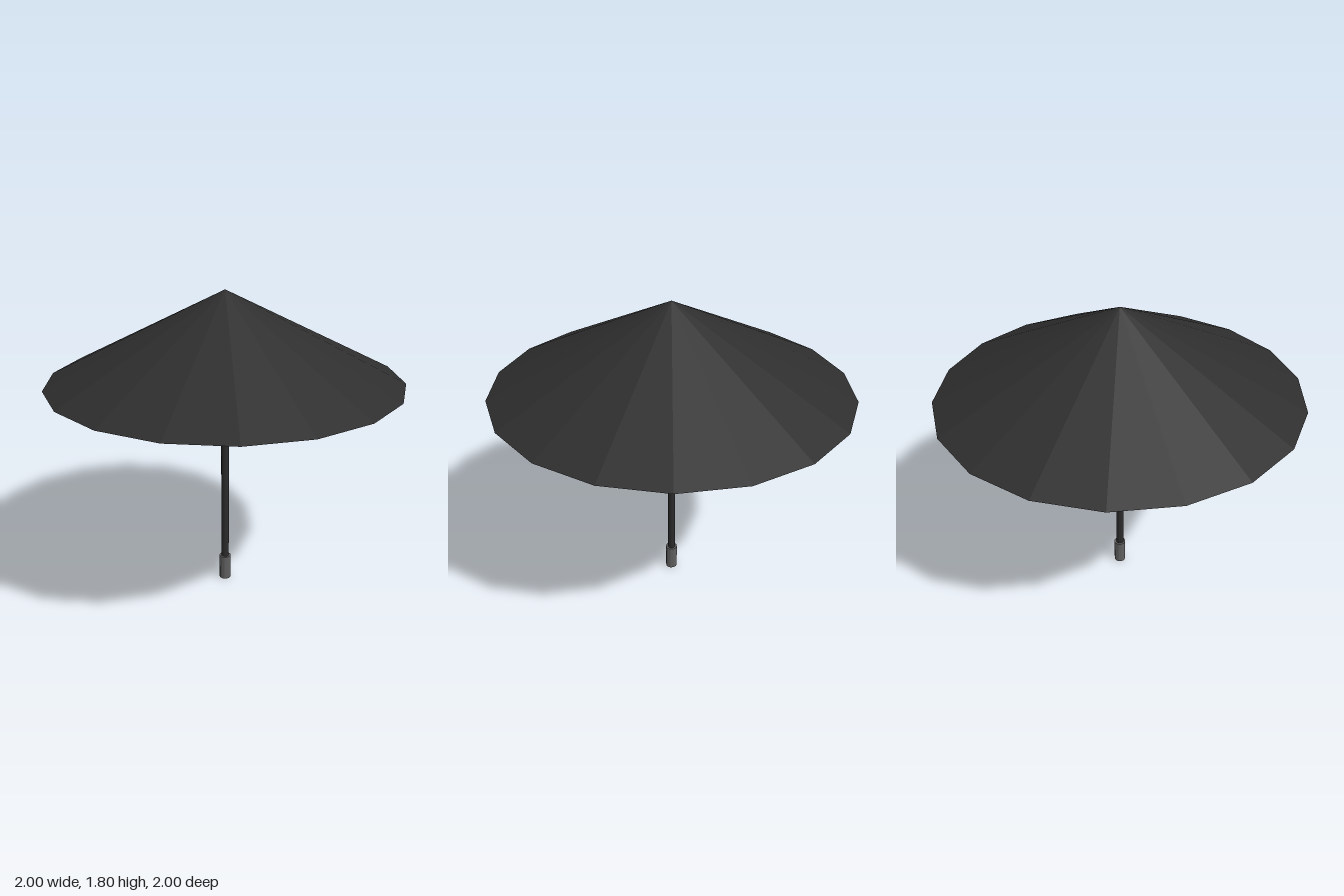
import * as THREE from 'three';

const SIDES = 18;

export function createModel() {
  const group = new THREE.Group();

  const fabric = new THREE.MeshStandardMaterial({ color: 0x2e2e2e, flatShading: true, side: THREE.DoubleSide });
  fabric.name = 'dark fabric';
  const shaft = new THREE.MeshStandardMaterial({ color: 0x2b2b2b, flatShading: true });
  shaft.name = 'black metal';
  const rubber = new THREE.MeshStandardMaterial({ color: 0x606060, flatShading: true });
  rubber.name = 'grey grip';

  const add = (name, geometry, material, bottom, height) => {
    const mesh = new THREE.Mesh(geometry, material);
    mesh.name = name;
    mesh.position.y = bottom + height / 2;
    group.add(mesh);
    return mesh;
  };

  // Open faceted canopy, corners on the x axis and flat edges at front and back
  const canopy = new THREE.ConeGeometry(1, 0.495, SIDES, 1, true, Math.PI / 2);
  canopy.scale(1, 1, 1 / Math.cos(Math.PI / SIDES));
  add('canopy', canopy, fabric, 1.305, 0.495);

  // Pole ending just under the canopy peak
  add('pole', new THREE.CylinderGeometry(0.023, 0.023, 1.64, 12), shaft, 0.1, 1.64);

  // Handle grip at the foot of the pole
  add('grip', new THREE.CylinderGeometry(0.035, 0.035, 0.155, 12), rubber, 0, 0.155);

  return group;
}
